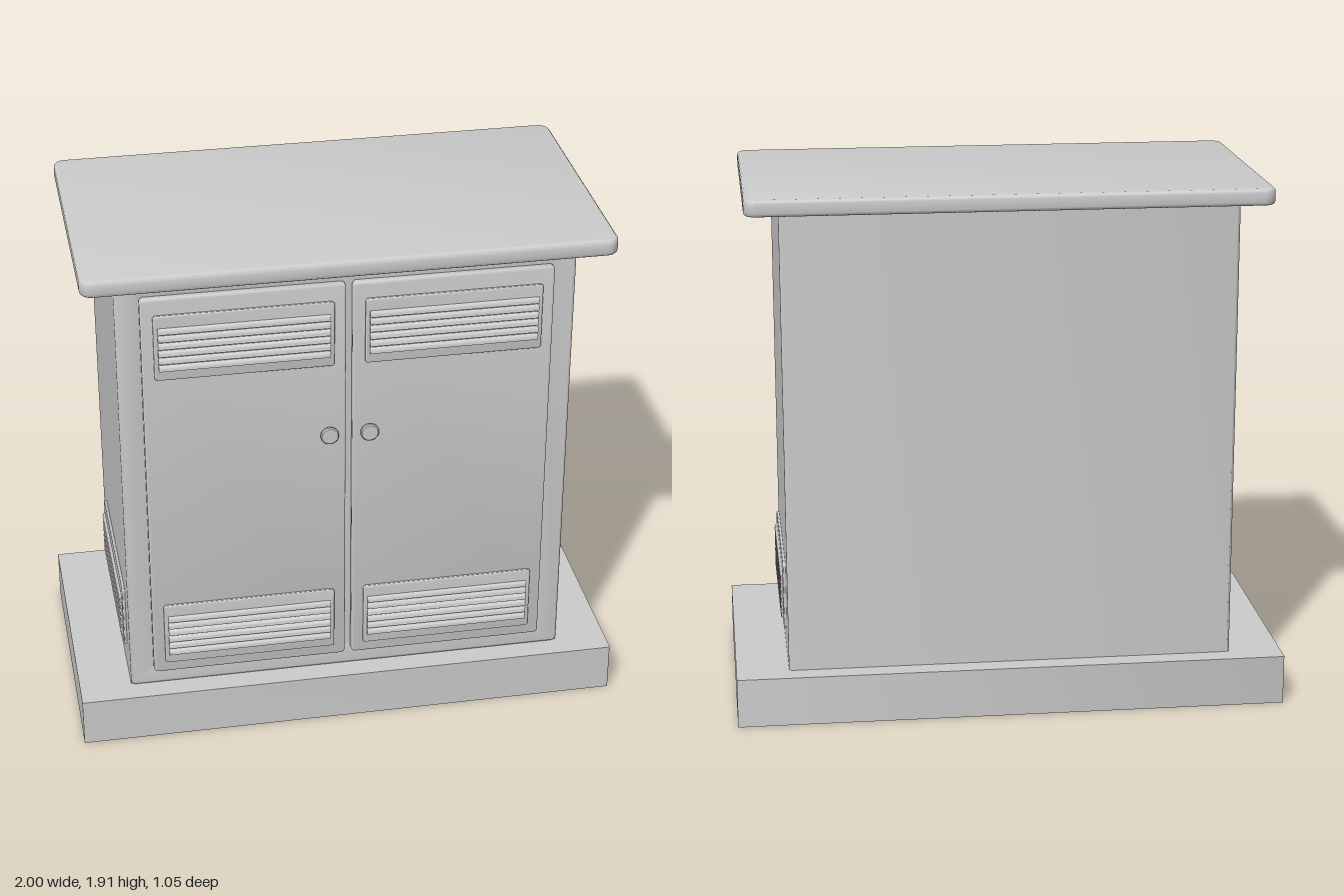
import * as THREE from 'three';
import { toCreasedNormals } from 'three/addons/utils/BufferGeometryUtils.js';

const material = new THREE.MeshStandardMaterial({ color: 0xcccccc, side: THREE.DoubleSide });

function part(name, geometry, parent) {
  const mesh = new THREE.Mesh(toCreasedNormals(geometry, 0.7), material);
  mesh.name = name;
  parent.add(mesh);
  return mesh;
}

// Rounded rectangle between two corners
function roundedRect(x0, y0, x1, y1, r, target = new THREE.Shape()) {
  target.moveTo(x0 + r, y0);
  target.lineTo(x1 - r, y0);
  target.absarc(x1 - r, y0 + r, r, -Math.PI / 2, 0);
  target.lineTo(x1, y1 - r);
  target.absarc(x1 - r, y1 - r, r, 0, Math.PI / 2);
  target.lineTo(x0 + r, y1);
  target.absarc(x0 + r, y1 - r, r, Math.PI / 2, Math.PI);
  target.lineTo(x0, y0 + r);
  target.absarc(x0 + r, y0 + r, r, Math.PI, Math.PI * 1.5);
  return target;
}

// Slab with softened edges, from z = 0 to z = depth
function slab(x0, y0, x1, y1, r, depth, bevel) {
  const shape = roundedRect(x0 + bevel, y0 + bevel, x1 - bevel, y1 - bevel, r);
  const geometry = new THREE.ExtrudeGeometry(shape, {
    depth: depth - 2 * bevel, bevelSize: bevel, bevelThickness: bevel, bevelSegments: 3, curveSegments: 6,
  });
  return geometry.translate(0, 0, bevel);
}

// Plan shape (drawn with y = -z) raised from y0 to y1
function raise(shape, y0, y1) {
  return new THREE.ExtrudeGeometry(shape, { depth: y1 - y0, bevelEnabled: false, curveSegments: 6 })
    .rotateX(-Math.PI / 2).translate(0, y0, 0);
}

function frame(x0, y0, x1, y1, r, wall) {
  const shape = roundedRect(x0, y0, x1, y1, r);
  shape.holes.push(roundedRect(x0 + wall, y0 + wall, x1 - wall, y1 - wall, r * 0.5, new THREE.Path()));
  return shape;
}

// Vent plate with a stack of louvre hoods, facing +z, bottom edge at y = 0
function createVent(name) {
  const vent = new THREE.Group();
  vent.name = name;
  part('ventPlate', slab(-0.315, 0, 0.315, 0.25, 0.006, 0.013, 0.005), vent);
  const profile = new THREE.Shape();
  profile.moveTo(0, 0);
  profile.lineTo(0.01, 0.002);
  profile.quadraticCurveTo(0.01, 0.018, 0, 0.025);
  for (let i = 0; i < 6; i++) {
    const hood = new THREE.ExtrudeGeometry(profile, { depth: 0.6, bevelEnabled: false, curveSegments: 5 });
    hood.rotateY(-Math.PI / 2).translate(0.3, 0.037 + i * 0.0285, 0.012);
    part('louvre', hood, vent);
  }
  return vent;
}

export function createModel() {
  const cabinet = new THREE.Group();
  cabinet.name = 'cabinet';

  // Hollow plinth: thin walls and a top plate open under the body
  part('plinthWall', raise(frame(-1, -0.49, 1, 0.525, 0.004, 0.006), 0, 0.18), cabinet);
  const plate = roundedRect(-1, -0.49, 1, 0.525, 0.004);
  plate.holes.push(roundedRect(-0.795, -0.395, 0.795, 0.435, 0.01, new THREE.Path()));
  part('plinthTop', raise(plate, 0.176, 0.181), cabinet);

  // Body: back and sides wrap round to the front panel
  const wrap = new THREE.Shape();
  wrap.moveTo(-0.8, -0.398);
  wrap.lineTo(-0.81, -0.398);
  wrap.lineTo(-0.81, 0.435);
  wrap.absarc(-0.795, 0.435, 0.015, Math.PI, Math.PI / 2, true);
  wrap.lineTo(0.795, 0.45);
  wrap.absarc(0.795, 0.435, 0.015, Math.PI / 2, 0, true);
  wrap.lineTo(0.81, -0.398);
  wrap.lineTo(0.8, -0.398);
  wrap.lineTo(0.8, 0.44);
  wrap.lineTo(-0.8, 0.44);
  part('bodyShell', raise(wrap, 0.18, 1.857), cabinet);

  // Front panel with an opening behind each door
  const front = roundedRect(-0.8, 0.19, 0.8, 1.847, 0.01);
  for (const s of [-1, 1]) {
    const [a, b] = [s * 0.025, s * 0.712].sort((p, q) => p - q);
    front.holes.push(roundedRect(a, 0.265, b, 1.777, 0.005, new THREE.Path()));
  }
  const panel = new THREE.ExtrudeGeometry(front, {
    depth: 0.002, bevelSize: 0.01, bevelThickness: 0.01, bevelSegments: 3, curveSegments: 6,
  });
  part('frontPanel', panel.translate(0, 0, 0.398), cabinet);

  // Overhanging roof
  const roof = slab(-0.93, -0.525, 0.93, 0.49, 0.03, 0.06, 0.013);
  part('roof', roof.rotateX(-Math.PI / 2).translate(0, 1.855, 0), cabinet);

  // Knob turned from a short profile
  const knobProfile = [[0, 0], [0.026, 0], [0.026, 0.006], [0.033, 0.008], [0.033, 0.016], [0.029, 0.02], [0, 0.02]]
    .map(([r, y]) => new THREE.Vector2(r, y));

  for (const s of [1, -1]) {
    const side = s > 0 ? 'left' : 'right';

    // Door with vents at top and bottom and a knob near the middle
    const door = new THREE.Group();
    door.name = side + 'Door';
    door.position.set(s * 0.369, 0, 0.409);
    part('doorPanel', slab(-0.357, 0.25, 0.357, 1.79, 0.008, 0.031, 0.007), door);
    for (const [name, y] of [['upperVent', 1.48], ['lowerVent', 0.295]]) {
      const vent = createVent(name);
      vent.position.set(0, y, 0.03);
      door.add(vent);
    }
    const knob = part('knob', new THREE.LatheGeometry(knobProfile, 24).rotateX(Math.PI / 2), door);
    knob.position.set(-s * 0.297, 1.2, 0.03);
    cabinet.add(door);

    // Vent low on each side wall
    const sideVent = createVent(side + 'SideVent');
    sideVent.rotation.y = s * Math.PI / 2;
    sideVent.position.set(s * 0.808, 0.295, -0.005);
    cabinet.add(sideVent);
  }
  return cabinet;
}
